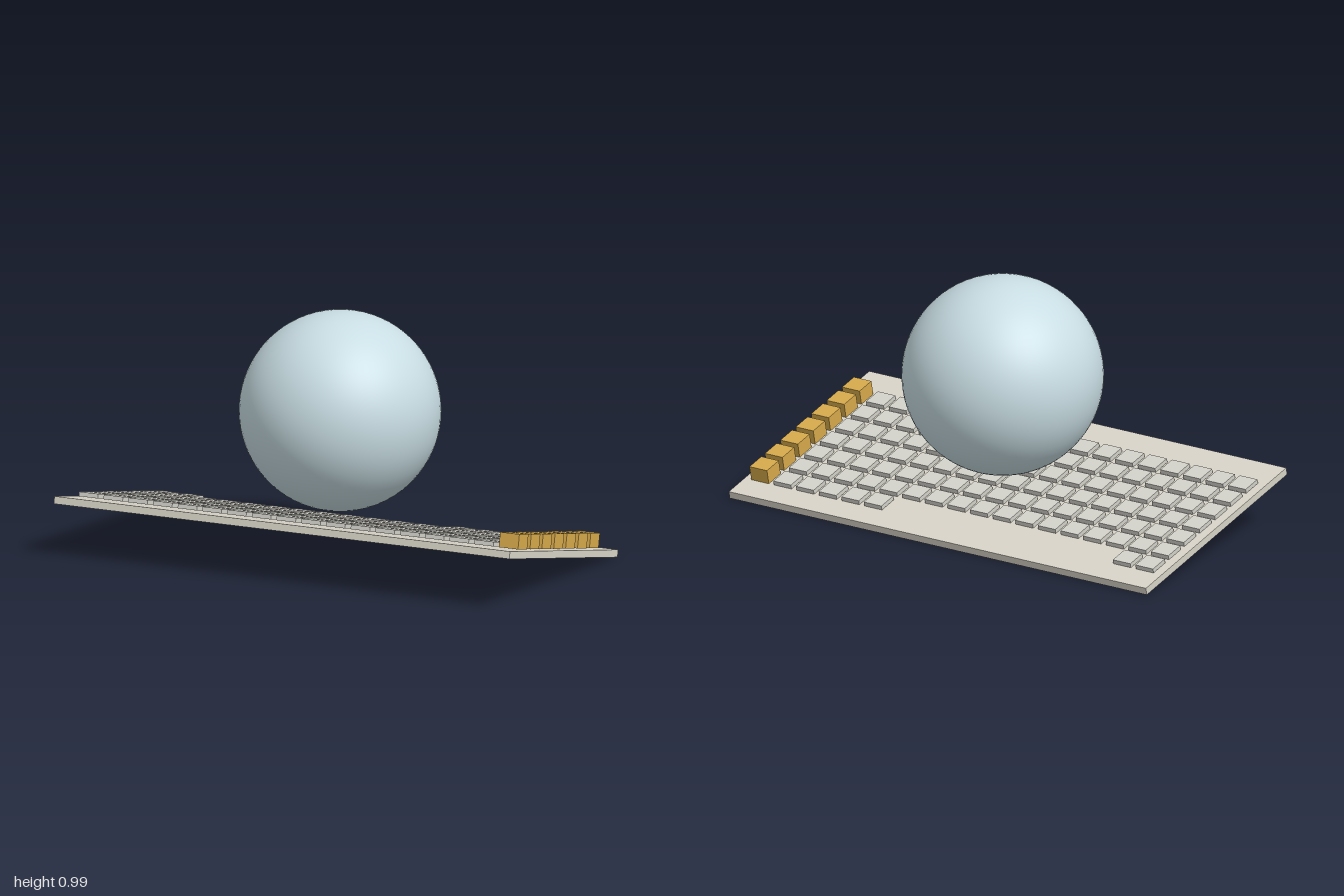
import * as THREE from 'three';

const slabMat = new THREE.MeshStandardMaterial({ name: 'warm grey slab', color: 0xd8d4c8 });
const tileMat = new THREE.MeshStandardMaterial({ name: 'pale grey tile', color: 0xd3d2ca });
const goldMat = new THREE.MeshStandardMaterial({ name: 'gold', color: 0xd6aa4b });
const ballMat = new THREE.MeshStandardMaterial({ name: 'pale blue', color: 0xc8dde3 });

const COLS = 18, ROWS = 7;
const SLAB_TOP = 0.015, GAP = 0.003;

export function createModel() {
  const model = new THREE.Group();
  model.name = 'tiledBoardWithSphere';

  // Board leaning down towards the back, carrying all tiles
  const board = new THREE.Group();
  board.name = 'board';
  board.position.y = 0.124;
  board.rotation.x = -0.22;
  model.add(board);

  const slab = new THREE.Mesh(new THREE.BoxGeometry(2, 0.03, 1), slabMat);
  slab.name = 'slab';
  board.add(slab);

  // Grid of tiles: the last column is tall and gold, the back row has a gap
  const tileGeo = new THREE.BoxGeometry(0.084, 0.018, 0.084);
  const blockGeo = new THREE.BoxGeometry(0.084, 0.06, 0.084);
  for (let row = 0; row < ROWS; row++) {
    for (let col = 0; col < COLS; col++) {
      if (row === 0 && col > 1 && col < 12) continue;
      const tall = col === COLS - 1;
      const tile = new THREE.Mesh(tall ? blockGeo : tileGeo, tall ? goldMat : tileMat);
      tile.name = tall ? 'goldBlock' : 'tile';
      tile.position.set(
        (col - (COLS - 1) / 2) * 0.1085,
        SLAB_TOP + GAP + (tall ? 0.03 : 0.009),
        -0.35 + row * 0.11
      );
      board.add(tile);
    }
  }

  // Large sphere hovering just above the board
  const ball = new THREE.Mesh(new THREE.SphereGeometry(0.4, 64, 40), ballMat);
  ball.name = 'sphere';
  ball.position.set(0, 0.59, -0.037);
  model.add(ball);

  return model;
}
